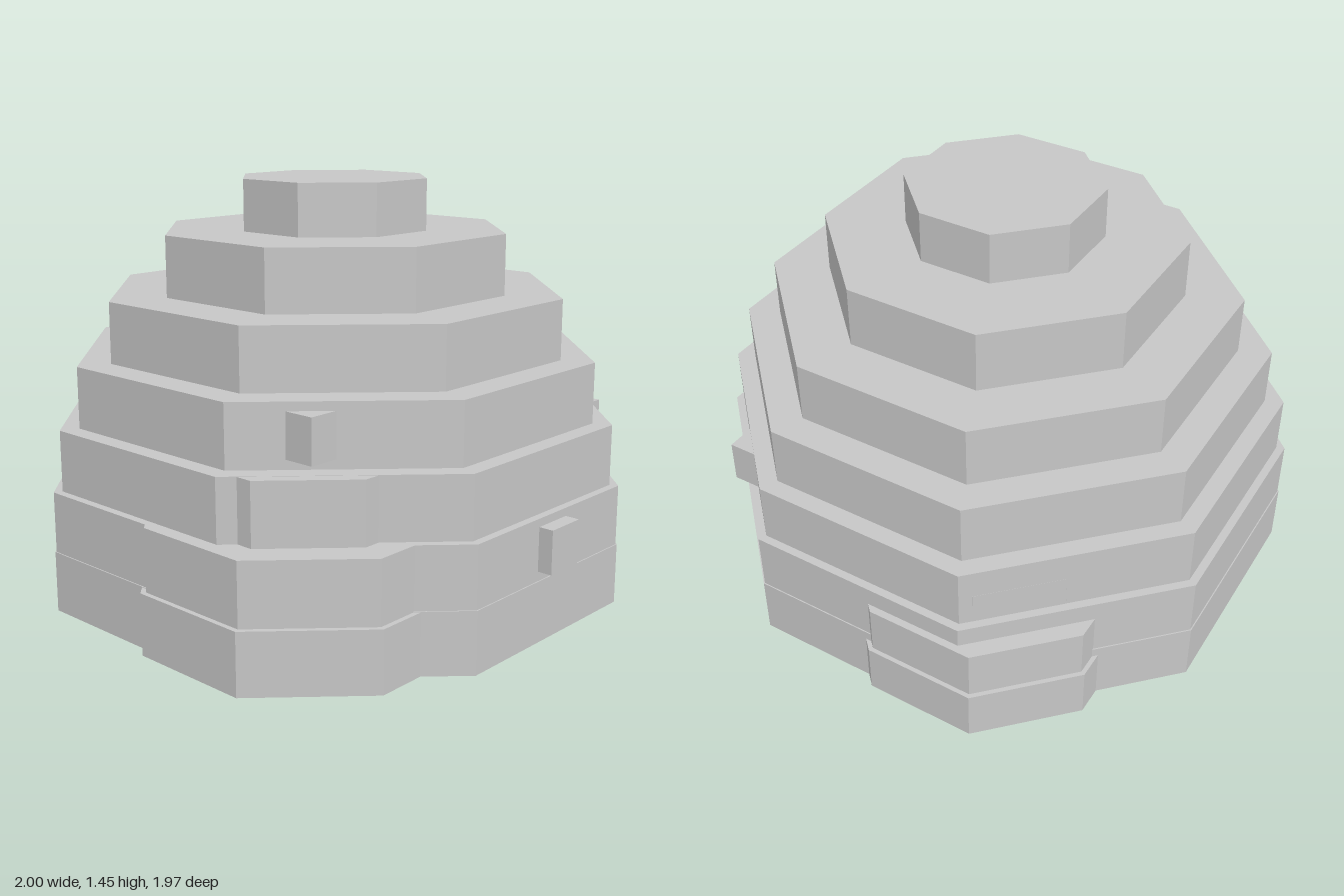
import * as THREE from 'three';

const stone = new THREE.MeshStandardMaterial({ color: 0xc6c6c6 });
stone.name = 'paleGreyStone';

// Stack of octagonal slabs; each tier is [apothem, bottom, top]
function terracedMound(name, x, z, tiers) {
  const mound = new THREE.Group();
  mound.name = name;
  mound.position.set(x, 0, z);
  tiers.forEach(([apothem, bottom, top], i) => {
    const radius = apothem / Math.cos(Math.PI / 8);
    const geometry = new THREE.CylinderGeometry(radius, radius, top - bottom, 8).toNonIndexed();
    geometry.rotateY(Math.PI / 8); // flat sides face the axes
    geometry.computeVertexNormals();
    const slab = new THREE.Mesh(geometry, stone);
    slab.name = `${name}Tier${i + 1}`;
    slab.position.y = (bottom + top) / 2;
    mound.add(slab);
  });
  return mound;
}

export function createModel() {
  const model = new THREE.Group();
  model.name = 'terracedRock';

  // Main hill
  model.add(terracedMound('mainMound', 0, -0.024, [
    [0.964, 0, 0.212],
    [0.96, 0.212, 0.423],
    [0.932, 0.423, 0.635],
    [0.87, 0.635, 0.847],
    [0.762, 0.847, 1.058],
    [0.576, 1.058, 1.27],
    [0.315, 1.27, 1.45],
  ]));

  // Smaller mounds merging into the hill's flanks
  model.add(terracedMound('frontRightMound', -0.475, 0.294, [
    [0.525, 0, 0.21],
    [0.508, 0.21, 0.423],
    [0.412, 0.423, 0.634],
  ]));
  model.add(terracedMound('backLeftMound', 0.53, -0.288, [
    [0.47, 0, 0.18],
    [0.455, 0.18, 0.355],
    [0.371, 0.355, 0.535],
  ]));

  // Cubic stones half sunk into the terraces
  const stones = [
    [0, 0.32, 0.912],
    [0.705, 0.53, 0.539],
    [-0.665, 0.742, 0.499],
  ];
  stones.forEach(([x, y, z], i) => {
    const block = new THREE.Mesh(new THREE.BoxGeometry(0.15, 0.15, 0.15), stone);
    block.name = `protrudingStone${i + 1}`;
    block.position.set(x, y, z);
    model.add(block);
  });

  return model;
}
